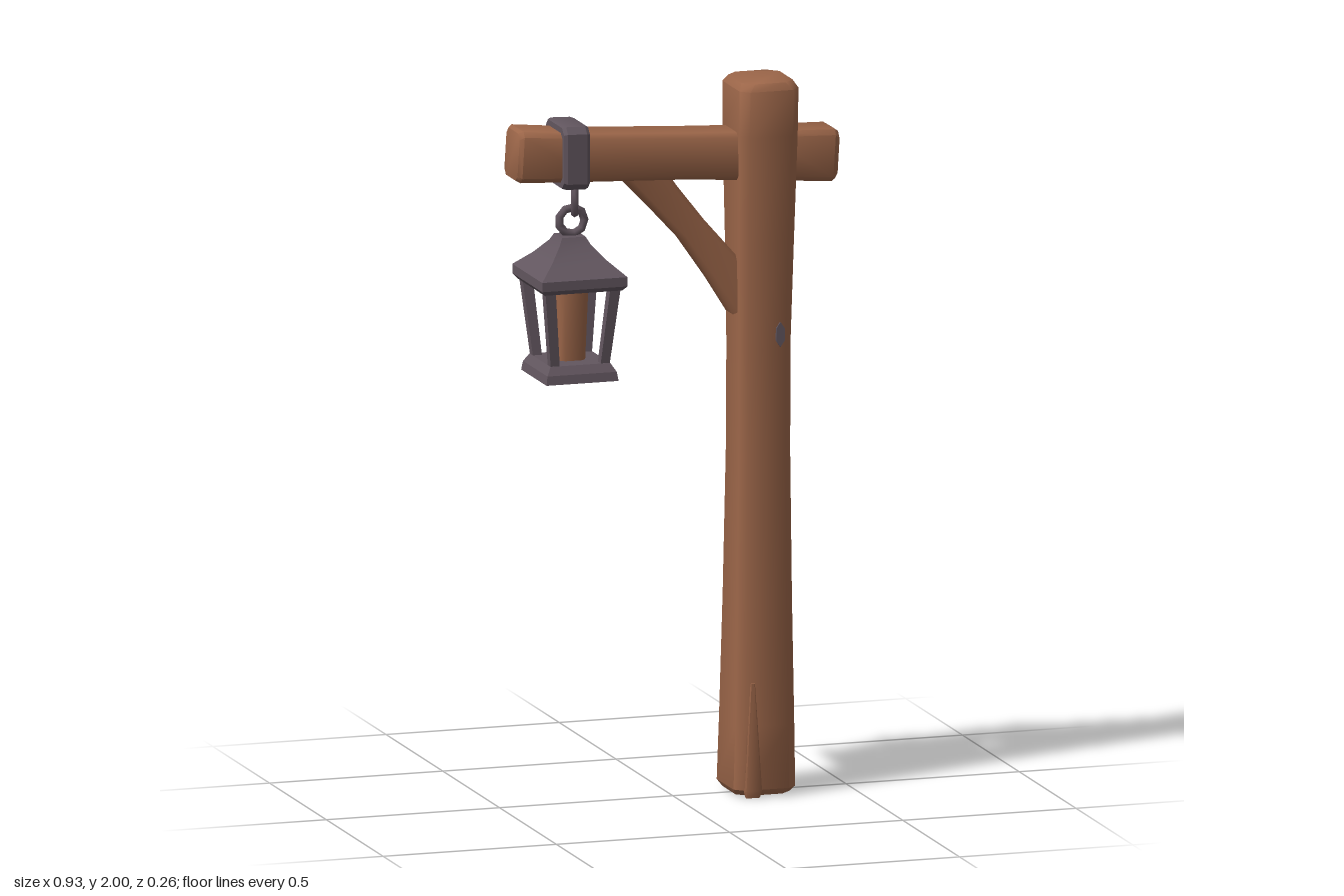
import * as THREE from 'three';
import { toCreasedNormals } from 'three/addons/utils/BufferGeometryUtils.js';

const wood = new THREE.MeshStandardMaterial({ color: 0x9c6649 });
wood.name = 'wood';
const iron = new THREE.MeshStandardMaterial({ color: 0x62565f });
iron.name = 'iron';

// Bevelled-square loft. Each ring: [centre x, centre y, half width, half depth, bevel, tilt about z]
function loft(rings, crease = 0.85) {
  const pos = [], index = [];
  const n = rings[0][4] > 0 ? 8 : 4;
  for (const [cx, cy, w, d, b, tilt = 0] of rings) {
    const section = n === 8
      ? [[w, -d + b], [w, d - b], [w - b, d], [-w + b, d], [-w, d - b], [-w, -d + b], [-w + b, -d], [w - b, -d]]
      : [[w, -d], [w, d], [-w, d], [-w, -d]];
    for (const [u, z] of section) pos.push(cx + u * Math.cos(tilt), cy + u * Math.sin(tilt), z);
  }
  const last = (rings.length - 1) * n;
  for (let r = 0; r < last; r += n) {
    for (let i = 0; i < n; i++) {
      const j = (i + 1) % n;
      index.push(r + i, r + n + i, r + j, r + j, r + n + i, r + n + j);
    }
  }
  for (let i = 1; i < n - 1; i++) index.push(0, i, i + 1, last, last + i + 1, last + i);
  const g = new THREE.BufferGeometry();
  g.setAttribute('position', new THREE.Float32BufferAttribute(pos, 3));
  g.setIndex(index);
  return toCreasedNormals(g, crease);
}

function add(parent, name, geometry, material, x = 0, y = 0, z = 0) {
  const mesh = new THREE.Mesh(geometry, material);
  mesh.name = name;
  mesh.position.set(x, y, z);
  parent.add(mesh);
  return mesh;
}

function createLantern() {
  const lantern = new THREE.Group();
  lantern.name = 'lantern';
  lantern.position.x = -0.297;

  // Stepped base
  add(lantern, 'base', loft([
    [0, 1.2, 0.104, 0.112, 0], [0, 1.225, 0.1, 0.108, 0],
    [0, 1.248, 0.086, 0.093, 0],
  ], 0.2), iron);

  // Four corner bars leaning outwards
  for (const sx of [-1, 1]) {
    for (const sz of [-1, 1]) {
      const bar = loft([[0, 1.235, 0.013, 0.013, 0], [0, 1.465, 0.015, 0.015, 0]], 0.2);
      const p = bar.attributes.position;
      for (let i = 0; i < p.count; i++) {
        const t = (p.getY(i) - 1.235) / 0.23;
        p.setX(i, p.getX(i) + sx * (0.071 + 0.023 * t));
        p.setZ(i, p.getZ(i) + sz * (0.077 + 0.025 * t));
      }
      bar.computeVertexNormals();
      add(lantern, 'cornerBar', bar, iron);
    }
  }

  // Candle block and wooden ceiling
  add(lantern, 'candle', loft([
    [0, 1.24, 0.036, 0.036, 0.012], [0, 1.46, 0.044, 0.044, 0.014],
  ]), wood);
  add(lantern, 'ceiling', new THREE.BoxGeometry(0.17, 0.008, 0.18), wood, 0, 1.453, 0);

  // Flared roof with a thick eave
  const roof = add(lantern, 'roof', loft([
    [0, 1.455, 0.112, 0.12, 0], [0, 1.468, 0.123, 0.132, 0],
    [0, 1.494, 0.123, 0.132, 0], [0, 1.535, 0.078, 0.084, 0],
    [0, 1.575, 0.044, 0.046, 0], [0, 1.594, 0.034, 0.035, 0],
  ], 0.45), iron);
  roof.name = 'roof';

  // Hanging ring and the link through it
  add(lantern, 'ring', new THREE.TorusGeometry(0.037, 0.012, 6, 9), iron, 0.005, 1.634, 0);
  const link = add(lantern, 'link', new THREE.TorusGeometry(0.037, 0.011, 6, 9), iron, 0.014, 1.697, 0);
  link.scale.y = 1.2;
  link.rotation.y = 1.25;
  return lantern;
}

export function createModel() {
  const model = new THREE.Group();
  model.name = 'lanternPost';

  // Upright, waisted post with worn ends
  add(model, 'post', loft([
    [0.24, 0.005, 0.078, 0.088, 0.03], [0.24, 0.022, 0.089, 0.1, 0.026],
    [0.242, 0.2, 0.085, 0.096, 0.024], [0.244, 0.55, 0.079, 0.086, 0.022],
    [0.246, 0.95, 0.074, 0.078, 0.02], [0.247, 1.25, 0.074, 0.076, 0.02],
    [0.25, 1.55, 0.079, 0.085, 0.022], [0.252, 1.85, 0.084, 0.097, 0.022],
    [0.253, 1.98, 0.085, 0.1, 0.024], [0.253, 2.0, 0.074, 0.088, 0.03],
  ]), wood);

  // Split slivers of wood around the foot
  for (const [x, z, h, w] of [[0.2, 0.094, 0.32, 0.025], [0.28, -0.094, 0.26, 0.028], [0.2, -0.093, 0.18, 0.02]]) {
    add(model, 'footSliver', loft([
      [0, 0, w * 0.8, 0.005, 0.003], [0, 0.02, w, 0.01, 0.004],
      [0, h, w * 0.25, 0.003, 0.002],
    ]), wood, x, 0, z);
  }

  // Cross beam sloping down towards the post
  const tilt = -Math.PI / 2 - 0.06;
  add(model, 'beam', loft([
    [-0.464, 1.832, 0.066, 0.058, 0.016, tilt], [-0.452, 1.832, 0.072, 0.066, 0.014, tilt],
    [-0.25, 1.817, 0.067, 0.063, 0.013, tilt], [0.02, 1.803, 0.065, 0.062, 0.013, tilt],
    [0.25, 1.789, 0.068, 0.063, 0.014, tilt], [0.446, 1.778, 0.073, 0.065, 0.014, tilt],
    [0.46, 1.777, 0.066, 0.057, 0.018, tilt],
  ]), wood);

  // Curved diagonal brace
  add(model, 'brace', loft([
    [-0.115, 1.79, 0.058, 0.046, 0.014, -2.33], [-0.035, 1.69, 0.046, 0.043, 0.012, -2.4],
    [0.05, 1.59, 0.041, 0.041, 0.012, -2.44], [0.14, 1.475, 0.049, 0.043, 0.012, -2.5],
    [0.21, 1.38, 0.058, 0.046, 0.014, -2.52],
  ]), wood);

  // Iron band wrapped around the beam
  add(model, 'beamBand', loft([
    [-0.34, 1.824, 0.085, 0.08, 0.018, -Math.PI / 2], [-0.33, 1.824, 0.088, 0.086, 0.018, -Math.PI / 2],
    [-0.275, 1.822, 0.088, 0.086, 0.018, -Math.PI / 2], [-0.265, 1.822, 0.085, 0.08, 0.018, -Math.PI / 2],
  ], 0.5), iron);

  // Nail head on the post front
  const nail = add(model, 'nail', new THREE.CylinderGeometry(0.014, 0.014, 0.012, 6), iron, 0.284, 1.292, 0.077);
  nail.rotation.x = Math.PI / 2;
  nail.scale.z = 2.5;

  model.add(createLantern());
  return model;
}
